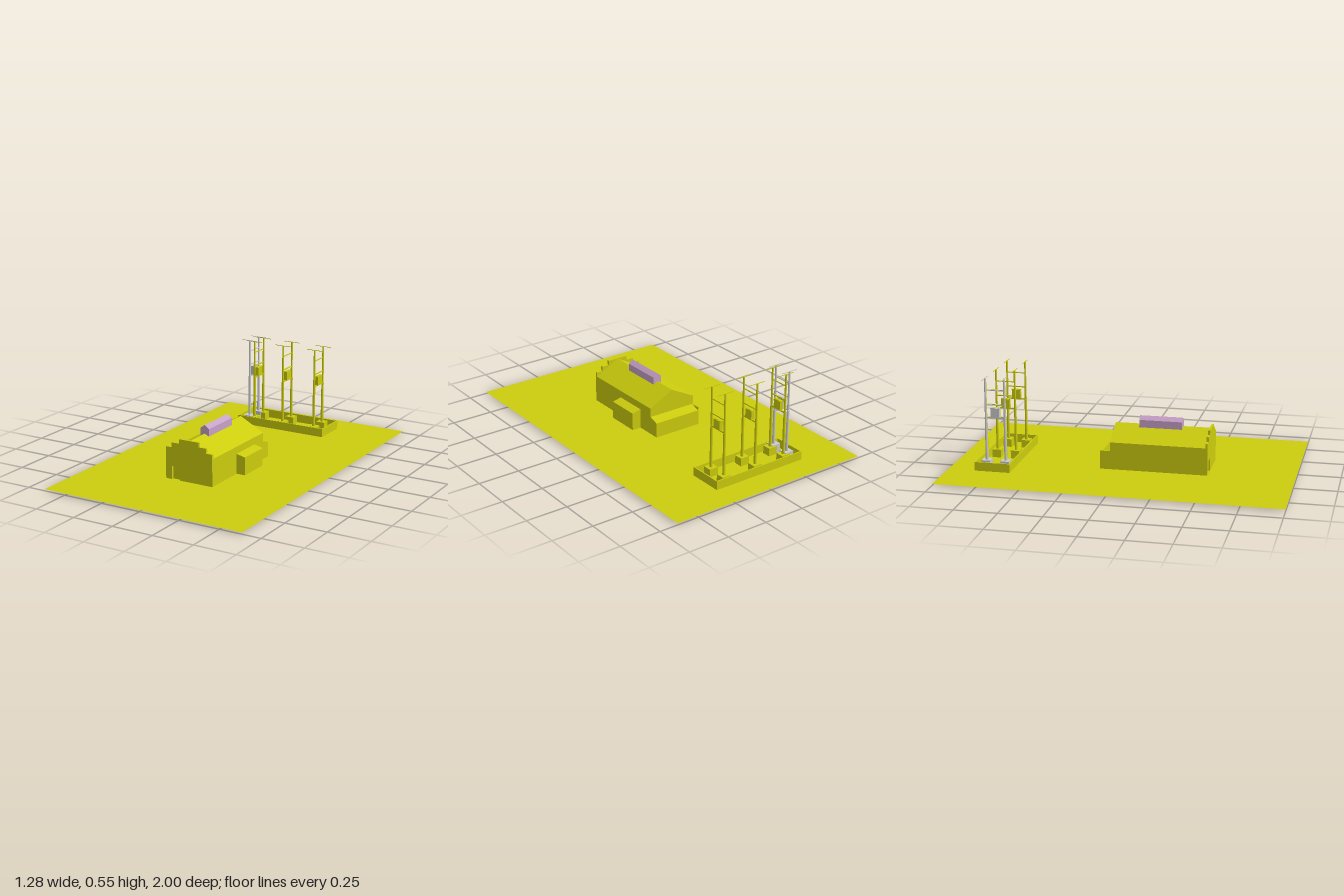
import * as THREE from 'three';

const paint = (color) => new THREE.MeshStandardMaterial({ color, side: THREE.DoubleSide });

export function createModel() {
  const model = new THREE.Group();
  const yellow = paint(0xcccc0e), grey = paint(0xcccccc), lilac = paint(0xc8a2c8);

  const add = (parent, name, geometry, material, x = 0, y = 0, z = 0) => {
    const mesh = new THREE.Mesh(geometry, material);
    mesh.name = name;
    mesh.position.set(x, y, z);
    parent.add(mesh);
    return mesh;
  };
  // Box given by its lower and upper corners
  const block = (parent, name, material, [x0, y0, z0], [x1, y1, z1]) =>
    add(parent, name, new THREE.BoxGeometry(x1 - x0, y1 - y0, z1 - z0), material,
      (x0 + x1) / 2, (y0 + y1) / 2, (z0 + z1) / 2);
  // Outline in x and y, extruded along z from z0 to z1
  const prism = (parent, name, material, points, z0, z1) => {
    const shape = new THREE.Shape(points.map(([x, y]) => new THREE.Vector2(x, y)));
    const geometry = new THREE.ExtrudeGeometry(shape, { depth: z1 - z0, bevelEnabled: false });
    return add(parent, name, geometry, material, 0, 0, z0);
  };

  const G = 0.01; // ground level
  add(model, 'ground', new THREE.PlaneGeometry(1.276, 2).rotateX(-Math.PI / 2), yellow, 0, G, 0);

  // Hall with gabled roof
  const hall = new THREE.Group();
  hall.name = 'hall';
  model.add(hall);
  prism(hall, 'hallBody', yellow,
    [[-0.16, G], [0.148, G], [0.148, 0.173], [-0.006, 0.253], [-0.16, 0.173]], -0.077, 0.483);

  // Stepped front wall with the doorway cut out
  prism(hall, 'steppedFront', yellow, [
    [-0.16, G], [-0.12, G], [-0.12, 0.088], [-0.066, 0.088], [-0.066, G], [0.148, G],
    [0.148, 0.2], [0.108, 0.2], [0.108, 0.229], [0.06, 0.229], [0.06, 0.256],
    [-0.072, 0.256], [-0.072, 0.229], [-0.12, 0.229], [-0.12, 0.2], [-0.16, 0.2],
  ], 0.483, 0.496);

  // Ridge ventilator
  prism(hall, 'ridgeVent', lilac,
    [[-0.035, 0.236], [0.021, 0.236], [0.021, 0.283], [-0.007, 0.304], [-0.035, 0.283]], 0.07, 0.325);

  // Side annex with sloping roof
  prism(hall, 'sideAnnex', yellow, [[0.14, G], [0.204, G], [0.204, 0.117], [0.14, 0.132]], 0.026, 0.23);

  // Rear lean-to, drawn in (z, y) and turned so its length runs along x
  const leanTo = prism(hall, 'rearLeanTo', yellow,
    [[0.07, G], [0.136, G], [0.136, 0.1], [0.07, 0.122]], 0, 0.303);
  leanTo.rotation.y = Math.PI / 2;
  leanTo.position.set(-0.155, 0, 0);
  block(hall, 'leanToEndWall', yellow, [-0.16, G, -0.136], [-0.155, 0.12, -0.07]);

  // Low walled enclosure, open at the top
  const yard = new THREE.Group();
  yard.name = 'enclosure';
  model.add(yard);
  const [x0, x1, z0, z1, t, h] = [-0.353, 0.254, -0.84, -0.63, 0.007, 0.062];
  block(yard, 'backWall', yellow, [x0, G, z0], [x1, h, z0 + t]);
  block(yard, 'frontWall', yellow, [x0, G, z1 - t], [x1, h, z1]);
  block(yard, 'rightWall', yellow, [x0, G, z0 + t], [x0 + t, h, z1 - t]);
  block(yard, 'leftWall', yellow, [x1 - t, G, z0 + t], [x1, h, z1 - t]);

  // Two-legged mast with a transformer hung between the poles
  const mast = (material, x, y, z) => {
    const g = new THREE.Group();
    g.name = 'transformerMast';
    g.position.set(x, y, z);
    model.add(g);
    for (const s of [-1, 1]) {
      const pz = s * 0.057;
      add(g, 'footing', new THREE.BoxGeometry(0.056, 0.058, 0.052), material, 0, 0.029, pz);
      add(g, 'lowerPole', new THREE.CylinderGeometry(0.0075, 0.009, 0.262, 10), material, 0, 0.181, pz);
      add(g, 'upperPole', new THREE.CylinderGeometry(0.0055, 0.0065, 0.236, 10), material, 0, 0.428, pz);
      add(g, 'crossArm', new THREE.BoxGeometry(0.106, 0.003, 0.003), material, 0, 0.5445, pz);
    }
    for (const [by, w] of [[0.312, 0.008], [0.388, 0.006], [0.475, 0.005]])
      add(g, 'crossBar', new THREE.BoxGeometry(w, w, 0.114), material, 0, by, 0);
    add(g, 'transformer', new THREE.BoxGeometry(0.022, 0.056, 0.052), material, 0, 0.341, 0);
    add(g, 'transformerLid', new THREE.BoxGeometry(0.016, 0.005, 0.058), material, 0, 0.369, 0);
  };
  for (const x of [-0.257, -0.052, 0.169]) mast(yellow, x, 0, -0.735);
  mast(grey, -0.288, 0.006, -0.727);

  return model;
}
